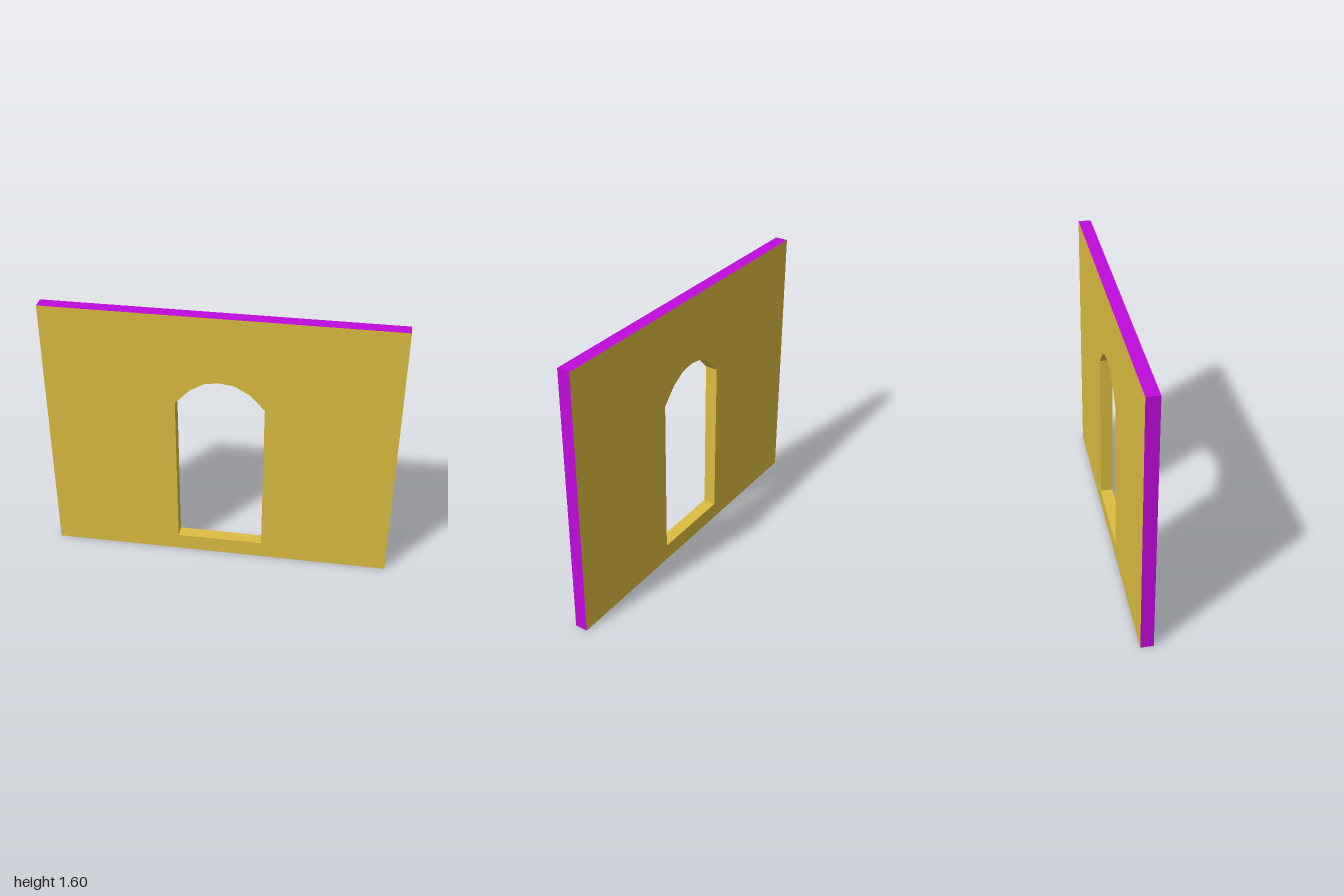
import * as THREE from 'three';

const HEIGHT = 1.597, DEPTH = 0.074;

// Copies a run of vertices of a non-indexed geometry into a new one
function slice(geometry, start, end) {
  const part = new THREE.BufferGeometry();
  for (const name of ['position', 'normal', 'uv']) {
    const { array, itemSize } = geometry.getAttribute(name);
    part.setAttribute(name, new THREE.BufferAttribute(array.slice(start * itemSize, end * itemSize), itemSize));
  }
  return part;
}

export function createModel() {
  const group = new THREE.Group();
  group.name = 'archedWall';

  const points = (list) => list.map(([x, y]) => new THREE.Vector2(x, y));

  // Wall outline
  const outline = points([[-1, 0], [1, 0], [1, HEIGHT], [-1, HEIGHT]]);
  const shape = new THREE.Shape(outline);

  // Opening: straight jambs with a faceted, flattened arch, mirrored about x = 0
  const half = [[0.253, 0.10], [0.253, 1.05], [0.166, 1.142], [0.083, 1.19]];
  const mirrored = half.map(([x, y]) => [-x, y]).reverse();
  shape.holes.push(new THREE.Path(points([...half, [0, 1.202], ...mirrored])));

  const solid = new THREE.ExtrudeGeometry(shape, { depth: DEPTH, bevelEnabled: false });
  solid.translate(0, 0, -DEPTH / 2);

  // Side faces follow the caps: first the outline's, then the opening's
  const capEnd = solid.groups[0].count;
  const rimEnd = capEnd + outline.length * 6;
  const total = solid.getAttribute('position').count;

  const add = (name, start, end, material) => {
    const mesh = new THREE.Mesh(slice(solid, start, end), material);
    mesh.name = name;
    group.add(mesh);
  };
  const yellow = new THREE.MeshStandardMaterial({ color: 0xddbd40 });
  const purple = new THREE.MeshStandardMaterial({ color: 0xbf0bdd });

  add('wallFaces', 0, capEnd, yellow);
  add('outerEdges', capEnd, rimEnd, purple);
  add('openingReveal', rimEnd, total, yellow);
  return group;
}
